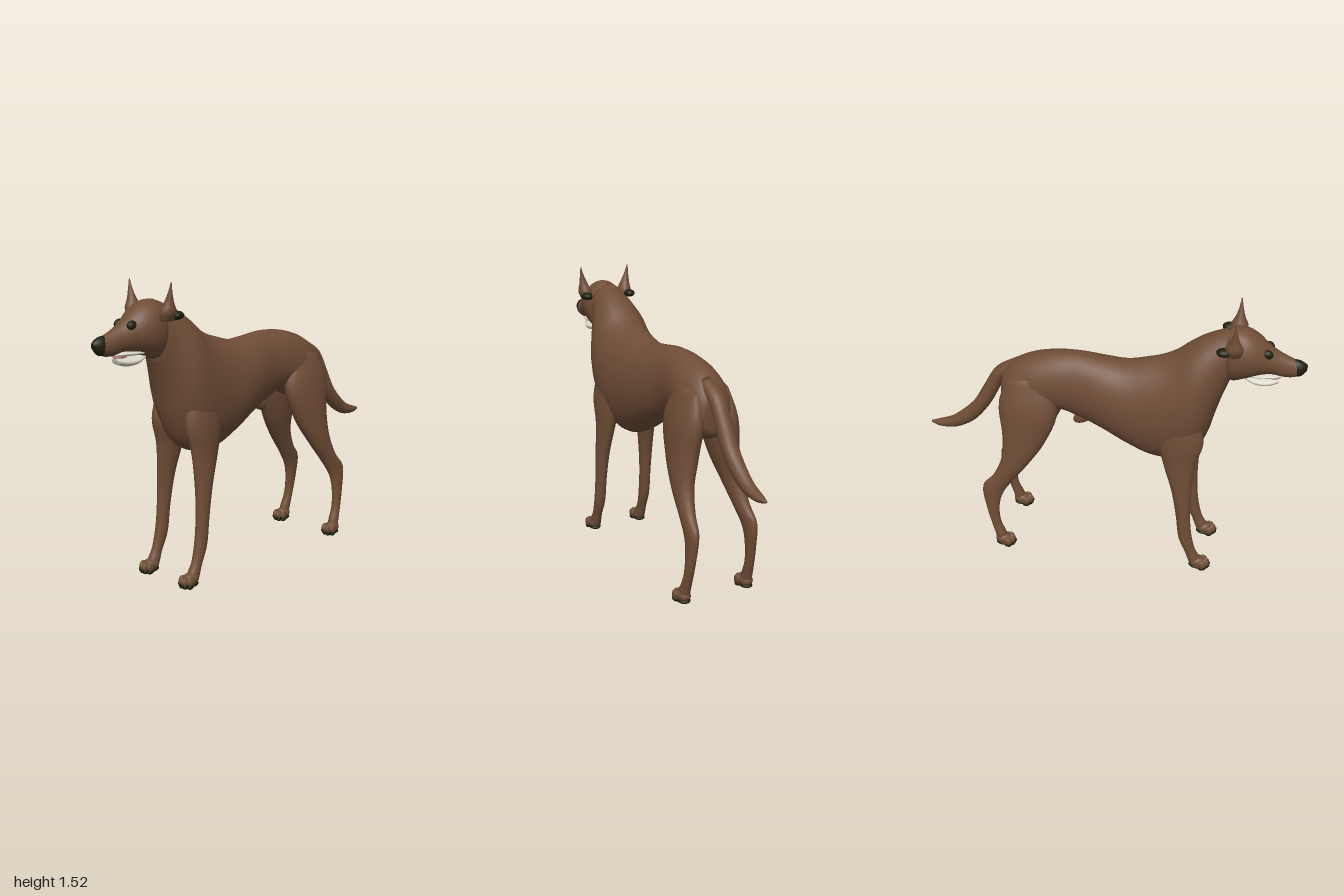
import * as THREE from 'three';

const mat = (name, color) => Object.assign(new THREE.MeshStandardMaterial({ color }), { name });
const coat = mat('brown coat', 0x6f4d36);
const dark = mat('dark skin', 0x1f1f0d);
const white = mat('tooth white', 0xd9d5c8);
const pink = mat('tongue pink', 0xb5757a);

// Smooth closed skin through oval sections.
// Each row: [z, y of one edge, z, y of the opposite edge, half width, centre x]
function loft(name, rows, material, side = 1, steps = 5, seg = 24) {
  const edgeA = new THREE.CatmullRomCurve3(rows.map(r => new THREE.Vector3(r[4], r[1], r[0])));
  const edgeB = new THREE.CatmullRomCurve3(rows.map(r => new THREE.Vector3((r[5] ?? 0) * side, r[3], r[2])));
  const rings = (rows.length - 1) * steps, pos = [], idx = [];
  for (let j = 0; j <= rings; j++) {
    const a = edgeA.getPoint(j / rings), b = edgeB.getPoint(j / rings);
    for (let i = 0; i < seg; i++) {
      const t = (i / seg) * Math.PI * 2, k = (1 + Math.cos(t)) / 2;
      pos.push(b.x + Math.max(a.x, 0.001) * Math.sin(t), b.y + (a.y - b.y) * k, b.z + (a.z - b.z) * k);
    }
  }
  for (let j = 0; j < rings; j++) {
    for (let i = 0; i < seg; i++) {
      const p = j * seg + i, q = j * seg + (i + 1) % seg;
      idx.push(p, p + seg, q, q, p + seg, q + seg);
    }
  }
  // end caps
  for (let i = 1; i < seg - 1; i++) {
    const e = rings * seg;
    idx.push(0, i, i + 1, e, e + i + 1, e + i);
  }
  const g = new THREE.BufferGeometry();
  g.setAttribute('position', new THREE.Float32BufferAttribute(pos, 3));
  g.setIndex(idx);
  g.computeVertexNormals();
  const m = new THREE.Mesh(g, material);
  m.name = name;
  return m;
}

function ball(name, material, [x, y, z], [sx, sy, sz], tilt = 0) {
  const m = new THREE.Mesh(new THREE.SphereGeometry(1, 16, 12), material);
  m.name = name;
  m.position.set(x, y, z);
  m.scale.set(sx, sy, sz);
  m.rotation.x = tilt;
  return m;
}

// Paw with four toes, claws and a dark sole; z is the middle of the foot
function paw(name, x, z) {
  const g = new THREE.Group();
  g.name = name;
  g.position.set(x, 0, z);
  g.add(ball('pawBody', coat, [0, 0.04, -0.008], [0.036, 0.033, 0.046]));
  g.add(ball('solePad', dark, [0, 0.014, -0.008], [0.034, 0.014, 0.045]));
  [-0.029, -0.01, 0.01, 0.029].forEach((tx, i) => {
    const front = i === 1 || i === 2 ? 0.036 : 0.022;
    g.add(ball('toe', coat, [tx, 0.036, front], [0.0125, 0.025, 0.024]));
    g.add(ball('toePad', dark, [tx, 0.013, front], [0.0115, 0.013, 0.021]));
    g.add(ball('claw', dark, [tx, 0.025, front + 0.018], [0.006, 0.012, 0.011], 0.5));
  });
  return g;
}

const TORSO = [
  [-0.56, 1.00, -0.557, 0.92, 0.03], [-0.545, 1.06, -0.55, 0.84, 0.08],
  [-0.49, 1.12, -0.47, 0.80, 0.115], [-0.40, 1.165, -0.36, 0.82, 0.128],
  [-0.28, 1.195, -0.25, 0.86, 0.122], [-0.15, 1.205, -0.14, 0.825, 0.118],
  [0, 1.19, 0, 0.765, 0.142], [0.10, 1.185, 0.12, 0.70, 0.156],
  [0.20, 1.21, 0.24, 0.647, 0.162], [0.28, 1.235, 0.35, 0.64, 0.172],
  [0.35, 1.27, 0.47, 0.69, 0.18], [0.42, 1.327, 0.54, 0.83, 0.174],
  [0.48, 1.37, 0.57, 0.95, 0.15], [0.54, 1.402, 0.60, 1.06, 0.122],
  [0.61, 1.43, 0.63, 1.15, 0.10],
];
const HEAD = [
  [0.57, 1.40, 0.60, 1.17, 0.07], [0.63, 1.437, 0.64, 1.15, 0.102],
  [0.69, 1.437, 0.70, 1.17, 0.107], [0.75, 1.41, 0.74, 1.185, 0.094],
  [0.80, 1.367, 0.785, 1.20, 0.072], [0.85, 1.333, 0.83, 1.205, 0.053],
  [0.91, 1.305, 0.89, 1.195, 0.04], [0.96, 1.285, 0.94, 1.20, 0.032],
  [0.98, 1.275, 0.965, 1.215, 0.024],
];
const NOSE = [
  [0.935, 1.295, 0.93, 1.235, 0.024], [0.955, 1.293, 0.945, 1.205, 0.032],
  [0.98, 1.283, 0.97, 1.208, 0.027], [1.0, 1.268, 0.995, 1.235, 0.012],
];
const JAW = [
  [0.70, 1.185, 0.71, 1.16, 0.03], [0.76, 1.18, 0.75, 1.143, 0.046],
  [0.82, 1.18, 0.81, 1.137, 0.043], [0.87, 1.185, 0.865, 1.152, 0.024],
];
const TEETH = [
  [0.73, 1.212, 0.73, 1.185, 0.05], [0.79, 1.212, 0.79, 1.186, 0.05],
  [0.85, 1.212, 0.85, 1.19, 0.04], [0.88, 1.205, 0.88, 1.192, 0.02],
];
const TAIL = [
  [-0.47, 1.03, -0.49, 1.12, 0.045], [-0.54, 1.01, -0.60, 1.05, 0.042],
  [-0.585, 0.93, -0.675, 0.93, 0.042], [-0.65, 0.81, -0.74, 0.82, 0.042],
  [-0.745, 0.695, -0.82, 0.74, 0.038], [-0.85, 0.635, -0.88, 0.695, 0.032],
  [-0.95, 0.625, -0.955, 0.665, 0.022], [-1.0, 0.637, -1.0, 0.65, 0.006],
].map(r => [...r, 0.015]);
const FRONT_LEG = [
  [0.49, 0.98, 0.30, 0.95, 0.045, 0.115], [0.53, 0.82, 0.30, 0.78, 0.058, 0.118],
  [0.497, 0.68, 0.33, 0.66, 0.045, 0.127], [0.485, 0.50, 0.38, 0.50, 0.037, 0.138],
  [0.487, 0.35, 0.41, 0.34, 0.031, 0.143], [0.50, 0.22, 0.432, 0.19, 0.03, 0.145],
  [0.525, 0.12, 0.47, 0.10, 0.026, 0.147], [0.555, 0.06, 0.492, 0.04, 0.03, 0.147],
  [0.555, 0.03, 0.50, 0.025, 0.026, 0.147],
];
const HIND_LEG = [
  [-0.32, 1.08, -0.51, 1.05, 0.03, 0.085], [-0.245, 0.89, -0.56, 0.91, 0.07, 0.098],
  [-0.31, 0.70, -0.545, 0.72, 0.065, 0.12], [-0.40, 0.56, -0.55, 0.585, 0.05, 0.143],
  [-0.50, 0.43, -0.60, 0.465, 0.036, 0.158], [-0.555, 0.34, -0.66, 0.39, 0.028, 0.168],
  [-0.575, 0.25, -0.648, 0.25, 0.024, 0.175], [-0.57, 0.15, -0.625, 0.15, 0.024, 0.18],
  [-0.54, 0.07, -0.60, 0.055, 0.028, 0.184], [-0.54, 0.03, -0.595, 0.02, 0.026, 0.185],
];
const EAR = [
  [0.60, 1.345, 0.68, 1.345, 0.026, 0.115], [0.60, 1.385, 0.69, 1.385, 0.036, 0.122],
  [0.622, 1.43, 0.67, 1.43, 0.024, 0.13], [0.636, 1.475, 0.657, 1.475, 0.012, 0.139],
  [0.643, 1.525, 0.647, 1.525, 0.002, 0.146],
];

export function createModel() {
  const dog = new THREE.Group();
  dog.name = 'dog';
  dog.add(loft('torsoAndNeck', TORSO, coat, 1, 5, 32), loft('tail', TAIL, coat));
  dog.add(ball('bellySheath', coat, [0, 0.815, -0.125], [0.026, 0.034, 0.068], -0.6));

  // head and mouth
  const head = new THREE.Group();
  head.name = 'head';
  head.position.x = 0.006;
  head.add(loft('skull', HEAD, coat, 1, 5, 28), loft('nose', NOSE, dark));
  head.add(loft('lowerJaw', JAW, white), loft('teeth', TEETH, white));
  head.add(ball('tongue', pink, [0, 1.187, 0.84], [0.026, 0.009, 0.04]));

  // mirrored parts
  for (const s of [1, -1]) {
    const label = s > 0 ? 'left' : 'right';
    head.add(ball(label + 'Eye', dark, [s * 0.045, 1.33, 0.80], [0.02, 0.025, 0.03]));
    head.add(loft(label + 'Ear', EAR, coat, s));
    head.add(ball(label + 'EarTuft', dark, [s * 0.132, 1.367, 0.597], [0.03, 0.021, 0.036]));
    dog.add(loft(label + 'FrontLeg', FRONT_LEG, coat, s), paw(label + 'FrontPaw', s * 0.147, 0.548));
    dog.add(loft(label + 'HindLeg', HIND_LEG, coat, s), paw(label + 'HindPaw', s * 0.185, -0.55));
  }
  dog.add(head);
  return dog;
}
